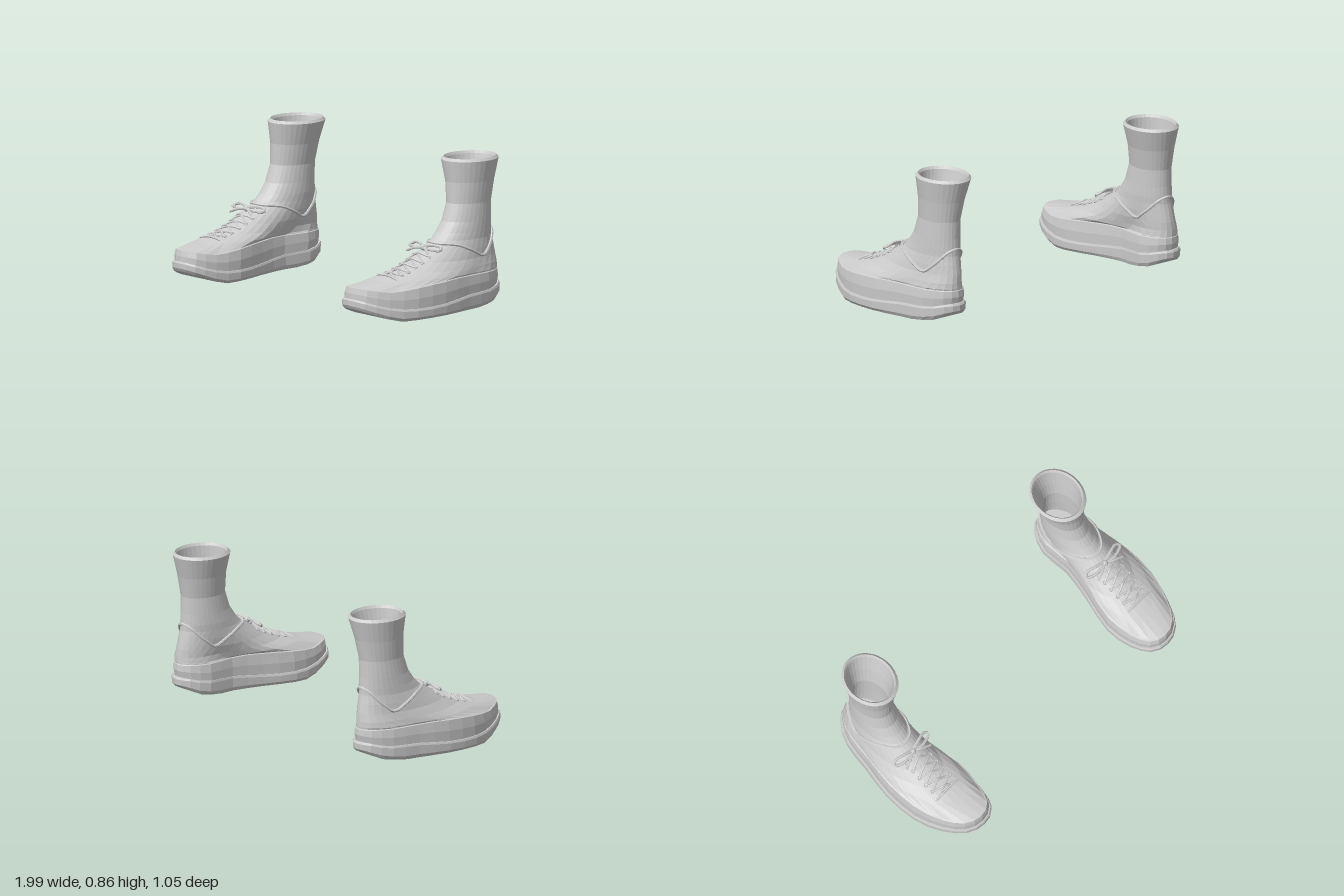
import * as THREE from 'three';

const N = 32;
const mat = new THREE.MeshStandardMaterial({ color: 0xcccccc, flatShading: true });
const V = (x, y, z) => new THREE.Vector3(x, y, z);

// Piecewise linear lookup in a list of [key, value] with rising keys
function lookup(table, k) {
  if (k <= table[0][0]) return table[0][1];
  for (let i = 1; i < table.length; i++) {
    const [k0, v0] = table[i - 1], [k1, v1] = table[i];
    if (k <= k1) return v0 + (v1 - v0) * (k - k0) / (k1 - k0);
  }
  return table[table.length - 1][1];
}

// Heights along the length of the shoe
const soleBottom = z => lookup([[-0.51, 0.075], [-0.42, 0.035], [-0.3, 0.016], [0.1, 0.006], [0.3, 0], [0.38, 0.022], [0.525, 0.08]], z);
const soleTop = z => lookup([[-0.5, 0.135], [-0.4, 0.11], [-0.2, 0.1], [0, 0.077], [0.15, 0.067], [0.3, 0.071], [0.4, 0.09], [0.525, 0.135]], z);
const panelTop = z => lookup([[-0.1, 0.205], [0.13, 0.19], [0.34, 0.166], [0.42, 0.178], [0.5, 0.193]], z);

// Footprint, from the toe along the outer side to the heel and back along the inner side
const footprint = new THREE.CatmullRomCurve3([
  [0.745, 0.525], [0.85, 0.485], [0.925, 0.37], [0.982, 0.2], [0.99, 0], [0.958, -0.2], [0.93, -0.37], [0.868, -0.485],
  [0.785, -0.525], [0.71, -0.485], [0.662, -0.37], [0.672, -0.2], [0.635, 0], [0.587, 0.2], [0.602, 0.37], [0.648, 0.485],
].map(([x, z]) => V((x - 0.79) / 0.205, 0, z / 0.525)), true);

// One ring: height (number or rule of z), front z, back z, least x, greatest x, roundness (0 footprint, 1 ellipse)
function ring([y, zF, zB, x0, x1, round]) {
  const pts = [];
  for (let i = 0; i < N; i++) {
    const a = i / N * Math.PI * 2, p = footprint.getPoint(i / N);
    const x = (x0 + x1) / 2 + (x1 - x0) / 2 * THREE.MathUtils.lerp(p.x, Math.sin(a), round);
    const z = (zF + zB) / 2 + (zF - zB) / 2 * THREE.MathUtils.lerp(p.z, Math.cos(a), round);
    pts.push(V(x, typeof y === 'function' ? y(z) : y, z));
  }
  return pts;
}

// Skin over a stack of rings, optionally closed at its first and last ring
function loft(name, specs, capStart, capEnd) {
  const pos = specs.flatMap(s => ring(s)).flatMap(p => [p.x, p.y, p.z]);
  const index = [];
  const quad = (a, b, c, d) => index.push(a, b, c, a, c, d);
  for (let k = 0; k < specs.length - 1; k++) {
    for (let i = 0; i < N; i++) {
      const j = (i + 1) % N;
      quad(k * N + i, k * N + j, (k + 1) * N + j, (k + 1) * N + i);
    }
  }
  const last = (specs.length - 1) * N;
  for (let i = 0; i < N / 2; i++) {
    const q = [i, i + 1, N - i - 1, (N - i) % N];
    if (capStart) quad(q[3], q[2], q[1], q[0]);
    if (capEnd) quad(...q.map(v => v + last));
  }
  const g = new THREE.BufferGeometry();
  g.setAttribute('position', new THREE.Float32BufferAttribute(pos, 3));
  g.setIndex(index);
  g.computeVertexNormals();
  return named(name, g);
}

function named(name, g) {
  const m = new THREE.Mesh(g, mat);
  m.name = name;
  return m;
}

function cord(name, pts, radius, closed = false) {
  const curve = new THREE.CatmullRomCurve3(pts, closed);
  return named(name, new THREE.TubeGeometry(curve, pts.length * 4, radius, 6, closed));
}

function buildShoe() {
  const shoe = new THREE.Group();

  // Thick sole, turned up at toe and heel
  const sole = loft('sole', [
    [soleBottom, 0.515, -0.505, 0.6, 0.985, 0],
    [z => soleBottom(z) * 0.75 + soleTop(z) * 0.25, 0.525, -0.523, 0.587, 0.998, 0],
    [z => soleTop(z) - 0.012, 0.526, -0.525, 0.585, 1, 0],
    [soleTop, 0.52, -0.518, 0.59, 0.995, 0],
    [soleTop, 0.49, -0.49, 0.62, 0.965, 0],
  ], true, true);

  // Shoe body: side panel with a small ledge, then the vamp sloping up to the ankle
  const upper = loft('upper', [
    [z => soleTop(z) - 0.005, 0.512, -0.505, 0.597, 0.988, 0],
    [z => (soleTop(z) + panelTop(z)) / 2, 0.511, -0.514, 0.595, 0.99, 0],
    [panelTop, 0.503, -0.511, 0.604, 0.982, 0],
    [z => panelTop(z) + 0.004, 0.492, -0.507, 0.613, 0.974, 0],
    [0.217, 0.34, -0.507, 0.626, 0.965, 0.15],
    [0.25, 0.205, -0.505, 0.645, 0.945, 0.4],
    [0.295, 0.105, -0.5, 0.655, 0.922, 0.7],
    [0.35, 0.005, -0.489, 0.662, 0.908, 0.9],
    [0.4, -0.075, -0.478, 0.668, 0.895, 1],
  ]);

  // Ankle and calf tube with a turned rim, hollow inside
  const leg = loft('leg', [
    [0.4, -0.075, -0.478, 0.668, 0.895, 1],
    [0.44, -0.115, -0.476, 0.668, 0.892, 1],
    [0.5, -0.158, -0.473, 0.672, 0.888, 1],
    [0.6, -0.193, -0.473, 0.676, 0.882, 1],
    [0.72, -0.195, -0.495, 0.655, 0.893, 1],
    [0.842, -0.178, -0.527, 0.62, 0.912, 1],
    [0.857, -0.195, -0.513, 0.633, 0.899, 1],
    [0.842, -0.205, -0.505, 0.642, 0.89, 1],
    [0.72, -0.213, -0.477, 0.672, 0.876, 1],
    [0.6, -0.21, -0.457, 0.692, 0.866, 1],
    [0.44, -0.15, -0.46, 0.684, 0.876, 1],
    [0.3, -0.1, -0.47, 0.684, 0.886, 1],
  ], false, true);
  shoe.add(sole, upper, leg);

  // Points on the body surface, found by casting rays at it
  const ray = new THREE.Raycaster();
  const touch = (from, dir, lift) => {
    ray.set(from, dir.normalize());
    const hit = ray.intersectObjects([upper, leg])[0];
    return hit ? hit.point.addScaledVector(dir, -lift) : from;
  };
  const onVamp = (x, z, lift = 0.006) => touch(V(x, 0.5, z), V(0, -1, 0), lift);

  // Collar edge: high heel tab, dip below the ankle, rise to the tongue
  const collarHeight = deg => lookup([[0, 0.44], [14, 0.425], [35, 0.36], [58, 0.308], [75, 0.31], [105, 0.345], [140, 0.383], [180, 0.392]], deg);
  const collar = [];
  for (let d = 0; d < 360; d += 15) {
    const a = d * Math.PI / 180, y = collarHeight(Math.min(d, 360 - d));
    const out = V(Math.sin(a), 0, -Math.cos(a));
    collar.push(touch(V(0.78, y, -0.28).addScaledVector(out, 0.6), out.clone().negate(), 0.003));
  }
  shoe.add(cord('collar', collar, 0.009, true));

  // Crossed laces over the vamp, with a straight bar at the toe end
  const rows = [0.265, 0.215, 0.165, 0.115, 0.065, 0.015];
  const cx = 0.782;
  const lace = (x0, z0, x1, z1, lift) => {
    const pts = [];
    for (let i = 0; i <= 4; i++) {
      const t = i / 4;
      pts.push(onVamp(x0 + (x1 - x0) * t, z0 + (z1 - z0) * t, i === 2 ? lift : 0.004));
    }
    shoe.add(cord('lace', pts, 0.0065));
  };
  lace(cx - 0.09, rows[0], cx + 0.09, rows[0], 0.005);
  for (let r = 0; r < rows.length - 1; r++) {
    for (const s of [-1, 1]) lace(cx - s * 0.068, rows[r], cx + s * 0.068, rows[r + 1], s > 0 ? 0.014 : 0.005);
  }
  for (const z of rows.slice(1)) {
    for (const s of [-1, 1]) {
      const p = onVamp(cx + s * 0.07, z, 0.003);
      shoe.add(named('eyelet', new THREE.TorusGeometry(0.009, 0.004, 5, 8).rotateX(-1.1).translate(p.x, p.y, p.z)));
    }
  }

  // Bow: knot, two loops and two loose ends
  shoe.add(named('knot', new THREE.SphereGeometry(0.018, 8, 6).translate(cx, 0.37, 0)));
  for (const s of [-1, 1]) {
    shoe.add(cord('bowLoop', [
      V(cx, 0.372, 0), V(cx + s * 0.06, 0.387, -0.018), V(cx + s * 0.12, 0.38, -0.03),
      V(cx + s * 0.135, 0.368, -0.012), V(cx + s * 0.07, 0.368, 0.012),
    ], 0.0085, true));
    shoe.add(cord('bowEnd', [V(cx, 0.37, 0), V(cx + s * 0.05, 0.365, 0.025), V(cx + s * 0.1, 0.345, 0.04)], 0.0075));
  }
  return shoe;
}

// Mirrored copy across x = 0 with the faces turned back outward
function mirrored(group) {
  const copy = new THREE.Group();
  for (const m of group.children) {
    const g = m.geometry.clone().applyMatrix4(new THREE.Matrix4().makeScale(-1, 1, 1));
    const ix = g.index.array;
    for (let i = 0; i < ix.length; i += 3) [ix[i], ix[i + 1]] = [ix[i + 1], ix[i]];
    copy.add(named(m.name, g));
  }
  return copy;
}

export function createModel() {
  const model = new THREE.Group();
  const left = buildShoe();
  const right = mirrored(left);
  left.name = 'leftShoe';
  right.name = 'rightShoe';
  model.add(left, right);
  model.name = 'shoes';
  return model;
}
